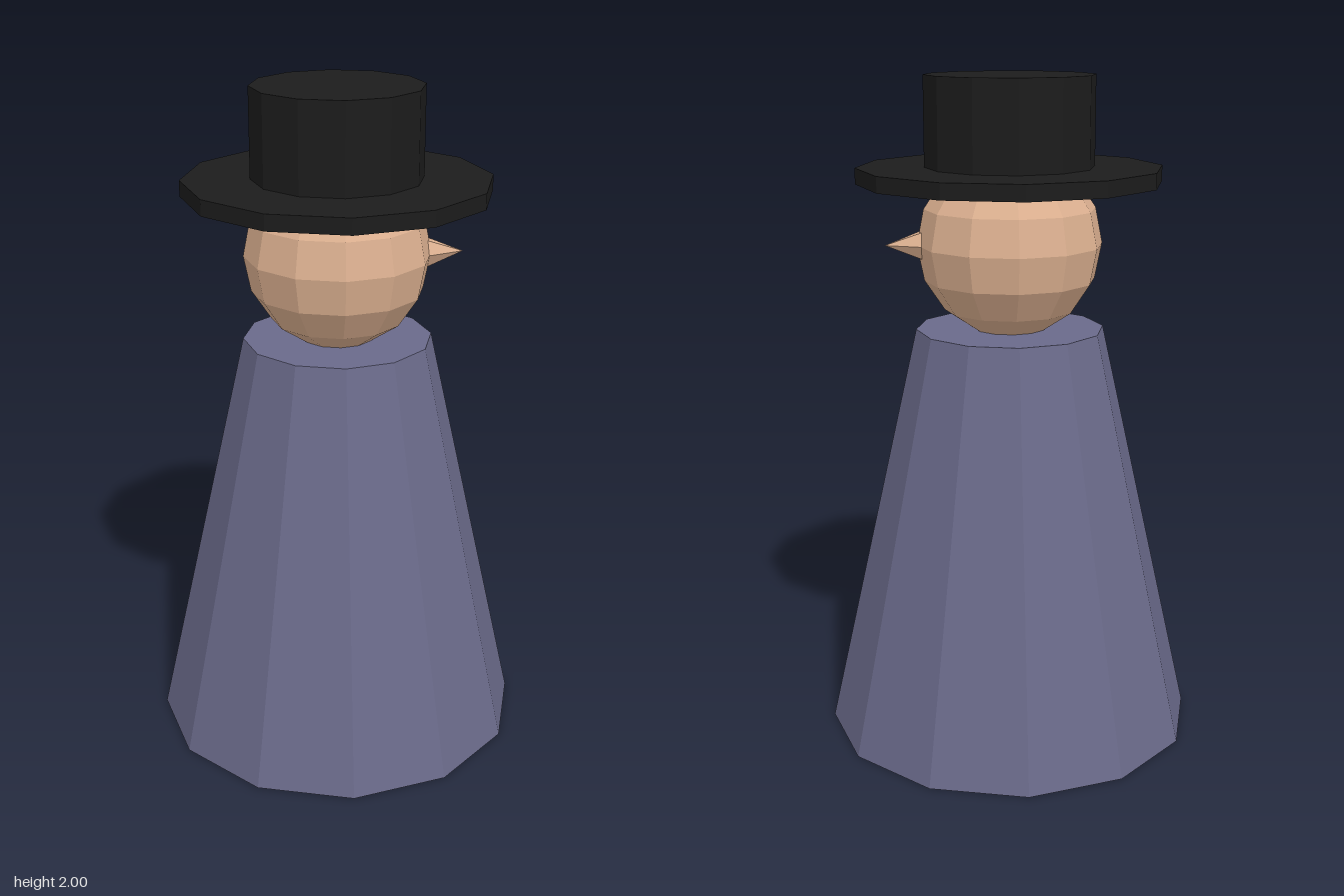
import * as THREE from 'three';

const material = (color) => new THREE.MeshStandardMaterial({ color, flatShading: true });

export function createModel() {
  const model = new THREE.Group();
  const cloth = material(0x6a6a8a);
  const skin = material(0xdcb090);
  const felt = material(0x1c1c1c);

  const add = (parent, name, geometry, mat, x, y) => {
    const mesh = new THREE.Mesh(geometry, mat);
    mesh.name = name;
    mesh.position.set(x, y, 0);
    parent.add(mesh);
    return mesh;
  };
  // twelve-sided drum standing between two heights
  const drum = (parent, name, top, bottom, y0, y1, mat) =>
    add(parent, name, new THREE.CylinderGeometry(top, bottom, y1 - y0, 12), mat, 0, (y0 + y1) / 2);

  // tapered robe
  drum(model, 'body', 0.282, 0.565, 0, 1.257, cloth);

  // faceted head, sunk slightly into the robe
  add(model, 'head', new THREE.SphereGeometry(0.276, 12, 8), skin, 0, 1.51);

  // pointed nose on the +x side
  const nose = add(model, 'nose', new THREE.ConeGeometry(0.047, 0.112, 6), skin, 0.314, 1.51);
  nose.rotation.z = -Math.PI / 2;

  // top hat
  const hat = new THREE.Group();
  hat.name = 'hat';
  drum(hat, 'brim', 0.452, 0.452, 1.69, 1.737, felt);
  drum(hat, 'crown', 0.251, 0.251, 1.72, 2, felt);
  model.add(hat);

  return model;
}
